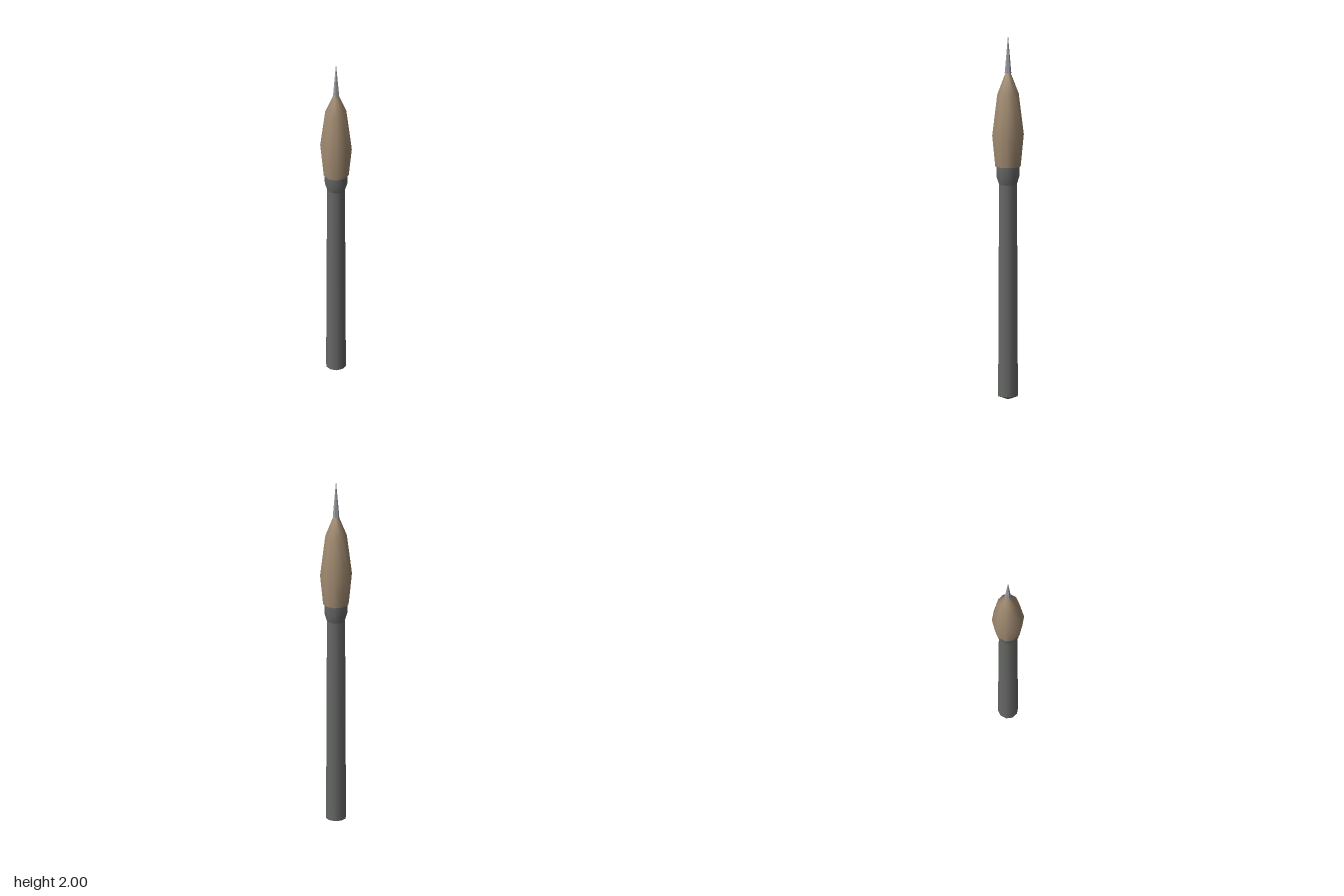
import * as THREE from 'three';

// Ten-sided smooth lathe with corners on the x axis, from [radius, y] pairs
function turned(name, profile, color) {
  const points = profile.map(([r, y]) => new THREE.Vector2(r, y));
  const geometry = new THREE.LatheGeometry(points, 10, Math.PI / 2);
  const mesh = new THREE.Mesh(geometry, new THREE.MeshStandardMaterial({ color }));
  mesh.name = name;
  return mesh;
}

export function createModel() {
  const group = new THREE.Group();
  group.name = 'paintbrush';
  const handleColor = 0x666866, gripColor = 0xa08a70;

  // Slightly tapering handle with a shallow pointed butt
  group.add(turned('handleButt', [[0, 0], [0.055, 0.02]], handleColor));
  group.add(turned('handle', [[0.055, 0.02], [0.05, 1.18]], handleColor));

  // Flared collar under the swelling
  group.add(turned('collar', [[0.05, 1.18], [0.064, 1.225], [0.064, 1.285]], handleColor));

  // Swelling body with closed underside and top
  group.add(turned('bodyUnderside', [[0, 1.28], [0.071, 1.28]], gripColor));
  group.add(turned('body', [[0.071, 1.28], [0.088, 1.45], [0.06, 1.675], [0.015, 1.79]], gripColor));
  group.add(turned('bodyTop', [[0.015, 1.79], [0, 1.79]], gripColor));

  // Faceted six-sided spike
  const tip = new THREE.Mesh(
    new THREE.ConeGeometry(0.018, 0.21, 6, 1, false, Math.PI / 2),
    new THREE.MeshStandardMaterial({ color: 0x9a9ca2, flatShading: true })
  );
  tip.name = 'tip';
  tip.position.y = 1.895;
  group.add(tip);

  return group;
}
